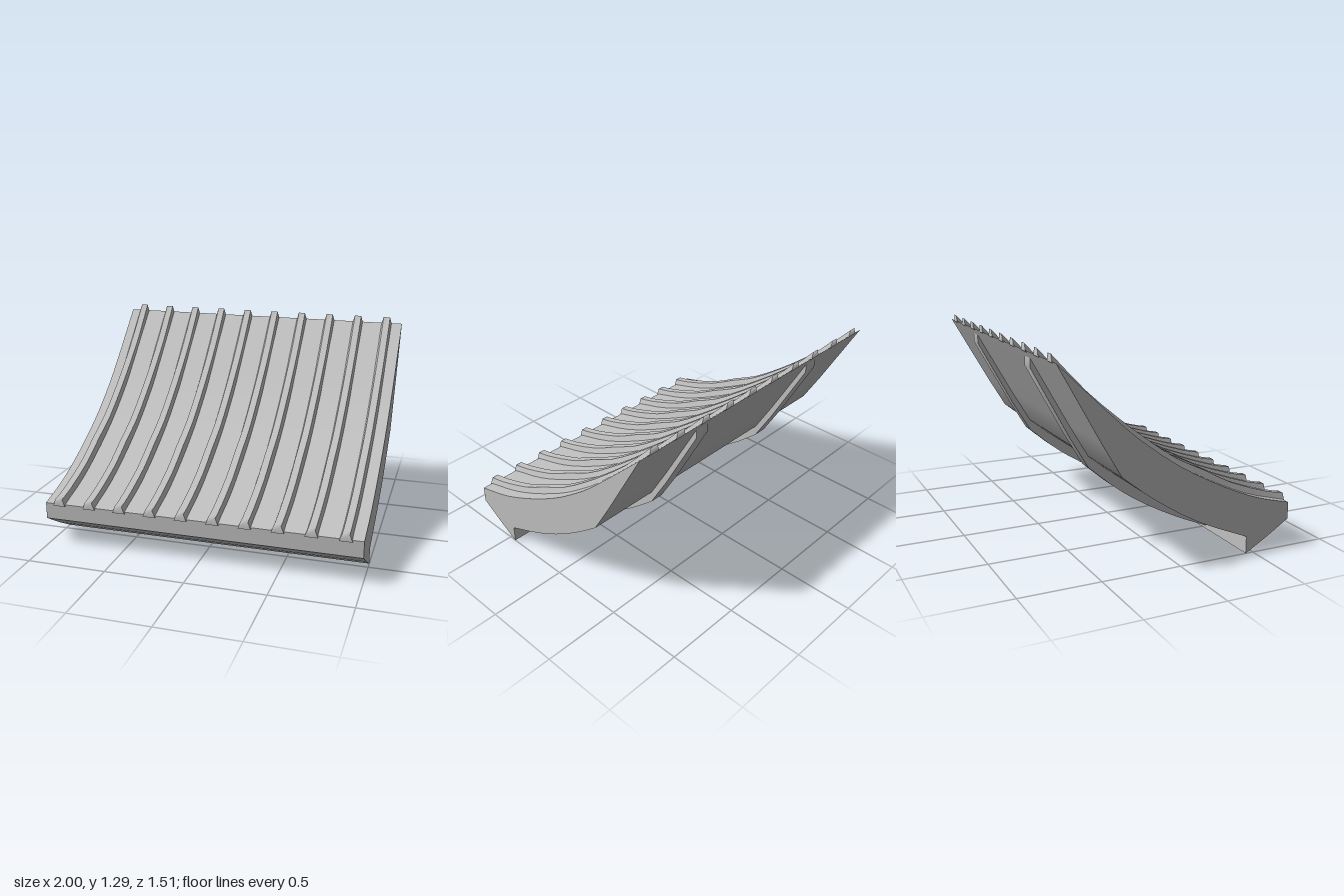
import * as THREE from 'three';
import { mergeGeometries, toCreasedNormals } from 'three/addons/utils/BufferGeometryUtils.js';

// Smooth [z, y] curve through a few points
const curve = (pts, n = 16) =>
  new THREE.SplineCurve(pts.map(p => new THREE.Vector2(...p))).getPoints(n).map(p => [p.x, p.y]);

// Side profile of [z, y] points, extruded across x
function profileAcross(profile, width, x) {
  const shape = new THREE.Shape(profile.map(([z, y]) => new THREE.Vector2(-z, y)));
  const geo = new THREE.ExtrudeGeometry(shape, { depth: width, bevelEnabled: false });
  geo.rotateY(Math.PI / 2);
  geo.translate(x - width / 2, 0, 0);
  return toCreasedNormals(geo, 0.5);
}

// Smooth band of quads between two rows of [x, y, z] points
function ribbon(a, b) {
  const index = [];
  for (let i = 0; i < a.length - 1; i++) {
    const p = 2 * i;
    index.push(p, p + 1, p + 3, p, p + 3, p + 2);
  }
  const geo = new THREE.BufferGeometry();
  geo.setAttribute('position', new THREE.Float32BufferAttribute(a.flatMap((p, i) => [...p, ...b[i]]), 3));
  geo.setIndex(index);
  geo.computeVertexNormals();
  return geo;
}

export function createModel() {
  const model = new THREE.Group();
  const grey = new THREE.MeshStandardMaterial({ color: 0xc0c0c0 });
  grey.name = 'light grey';
  const add = (name, geo) => {
    const mesh = new THREE.Mesh(geo, grey);
    mesh.name = name;
    model.add(mesh);
    return mesh;
  };

  // Curved panel with a hooked front lip
  const panelTop = curve([[0.745, 0.285], [0.5, 0.353], [0.257, 0.459], [0, 0.6],
    [-0.196, 0.737], [-0.378, 0.887], [-0.755, 1.25]]);
  const panelUnder = curve([[-0.378, 0.592], [-0.204, 0.455], [0, 0.321], [0.188, 0.222], [0.45, 0.111]], 10);
  add('curvedPanel', profileAcross(
    [...panelTop, [-0.5, 0.797], ...panelUnder, [0.45, 0.004], [0.6, 0.089], [0.745, 0.18]], 2, 0));

  // Two support ribs under the panel
  const ribUnder = curve([[0.45, 0.026], [0.24, 0.115], [0, 0.24], [-0.196, 0.37], [-0.378, 0.523]], 10);
  const ribProfile = [...ribUnder, [-0.5, 0.727], [-0.73, 1.15], [-0.73, 1.222],
    [-0.5, 0.82], [-0.37, 0.61], [-0.2, 0.47], [0, 0.335], [0.19, 0.235], [0.45, 0.125]];
  for (const x of [-0.5, 0.5]) add('supportRib', profileAcross(ribProfile, 0.09, x));

  // Raised slats with tapered flanks, rounded over at both ends
  const slatTop = curve([[0.755, 0.321], [0.628, 0.35], [0.38, 0.438], [0.19, 0.54], [0, 0.636],
    [-0.196, 0.774], [-0.378, 0.919], [-0.56, 1.08], [-0.755, 1.29]]);
  const slatBase = panelTop.map(([z, y]) => [z, y - 0.006]);
  slatBase[0] = [0.755, 0.275];
  const row = (pts, half) => pts.map(([z, y]) => [half, y, z]);
  const flip = pts => pts.map(([x, y, z]) => [-x, y, z]);
  const top = row(slatTop, 0.022), base = row(slatBase, 0.036);
  base[0][0] = 0.04;
  const crown = [base[0], ...top, base[base.length - 1]];
  const slat = mergeGeometries([
    ribbon(flip(crown), crown),
    ribbon(top, base),
    ribbon(flip(base), flip(top)),
    ribbon(base, flip(base)),
  ]);
  for (let i = 0; i < 10; i++) add('slat', slat).position.x = -0.905 + 0.2 * i;

  return model;
}
